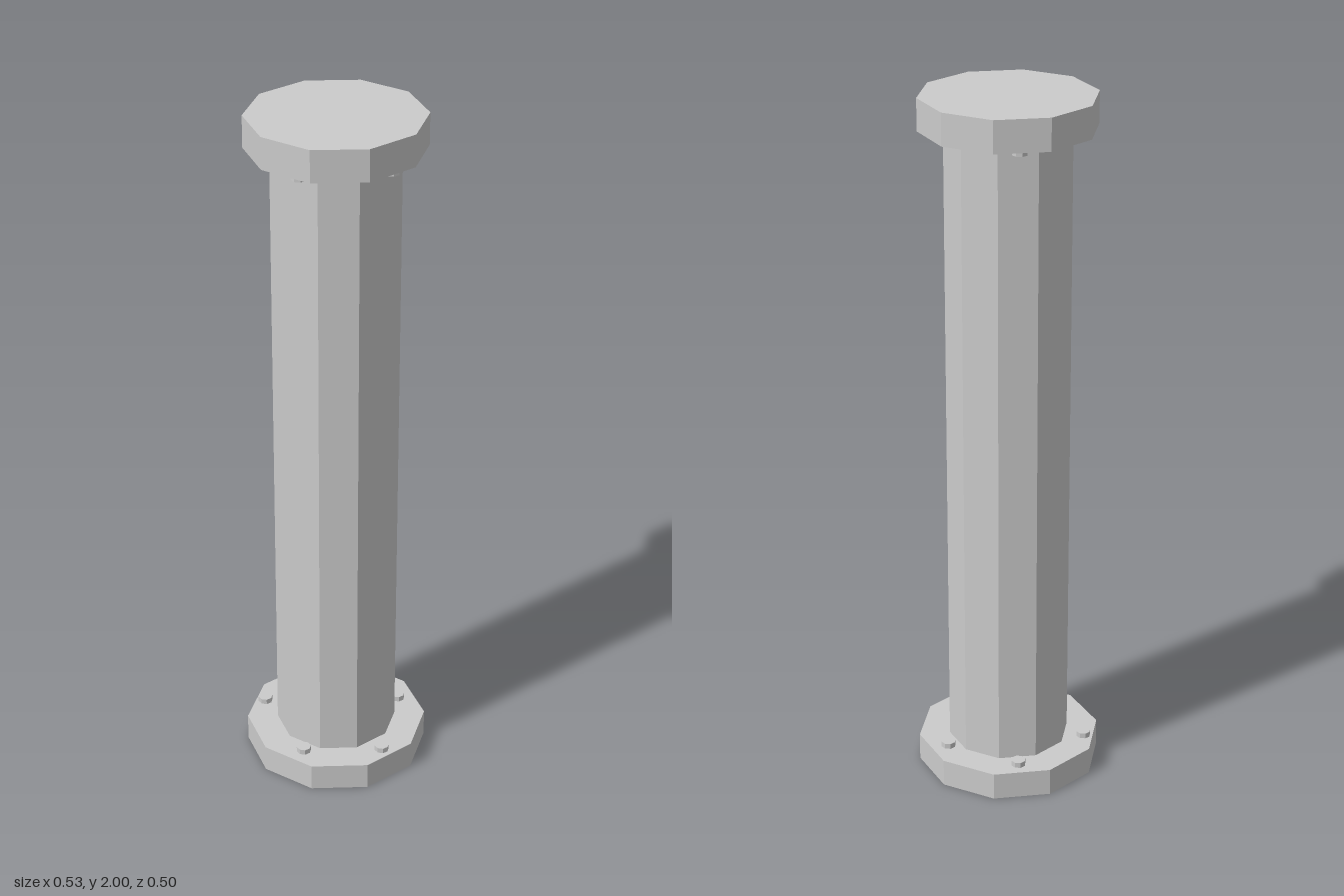
import * as THREE from 'three';

const material = new THREE.MeshStandardMaterial({ color: 0xcccccc, flatShading: true });

// Upright prism between two heights, with corners on the x axis
function prism(name, radius, y0, y1, sides = 10) {
  const geometry = new THREE.CylinderGeometry(radius, radius, y1 - y0, sides, 1, false, Math.PI / 2);
  geometry.translate(0, (y0 + y1) / 2, 0);
  const mesh = new THREE.Mesh(geometry, material);
  mesh.name = name;
  return mesh;
}

// Ring of small bolt heads at the given x, z positions
function boltRing(name, positions, y0, y1) {
  const ring = new THREE.Group();
  ring.name = name;
  for (const [x, z] of positions) {
    const bolt = prism('bolt', 0.021, y0, y1, 8);
    bolt.position.set(x, 0, z);
    ring.add(bolt);
  }
  return ring;
}

export function createModel() {
  const column = new THREE.Group();
  column.name = 'column';

  // Flanges and ten-sided shaft
  column.add(
    prism('baseFlange', 0.263, 0, 0.08),
    prism('shaft', 0.174, 0.07, 1.92),
    prism('topFlange', 0.243, 1.91, 2),
  );

  // Bolts on top of the base and under the top flange, slightly uneven
  const lower = [[0.02, 0.2], [0.205, 0.068], [-0.214, 0.062], [0.109, -0.169], [-0.118, -0.168]];
  const upper = [[0.02, 0.2], [0.197, 0.038], [-0.193, 0.06], [0.107, -0.154], [-0.115, -0.16]];
  column.add(
    boltRing('baseBolts', lower, 0.075, 0.096),
    boltRing('topBolts', upper, 1.896, 1.915),
  );
  return column;
}
